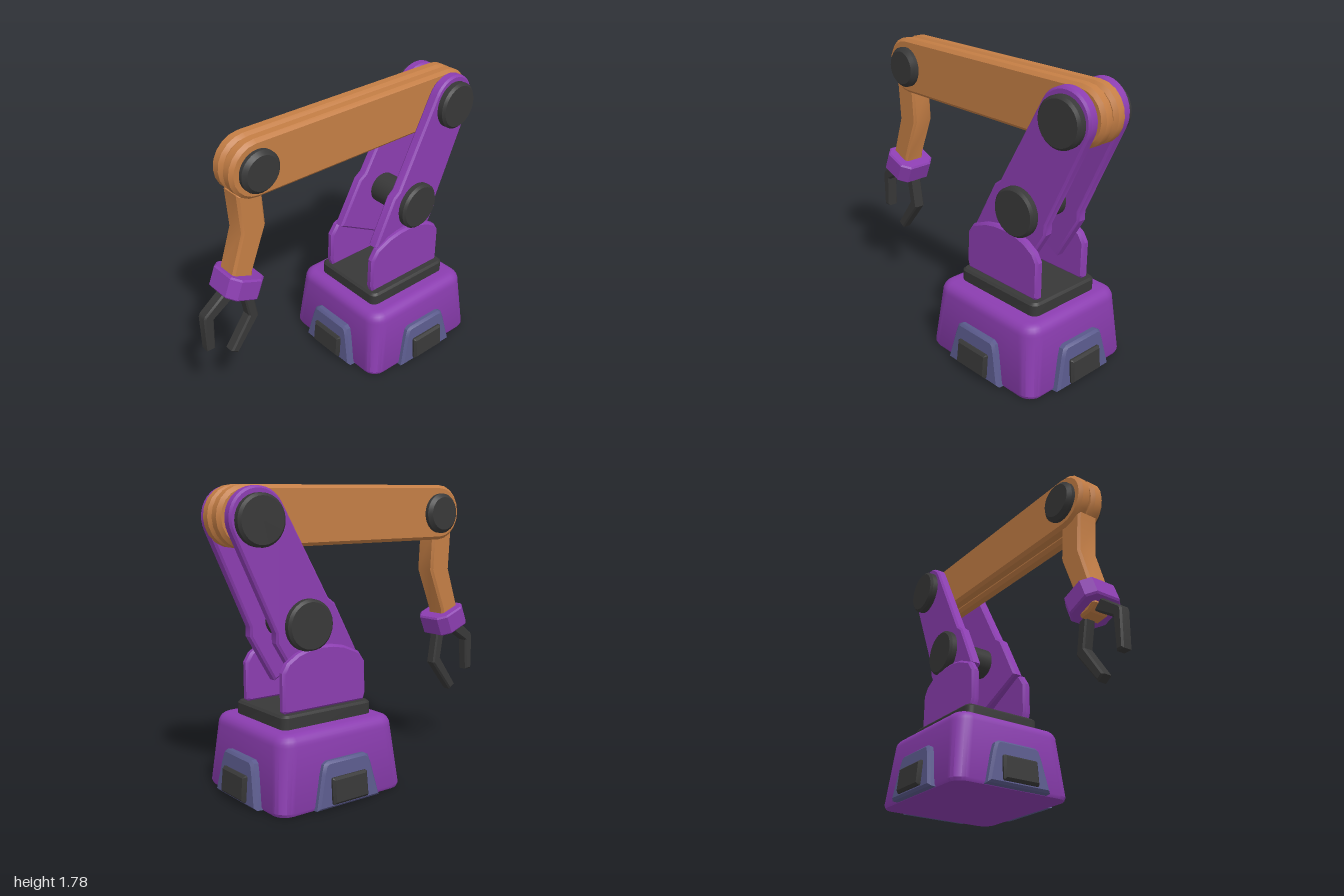
import * as THREE from 'three';
import { toCreasedNormals } from 'three/addons/utils/BufferGeometryUtils.js';

const paint = (color) => new THREE.MeshStandardMaterial({ color });
const purple = paint(0x8b3db0), orange = paint(0xc47e45), dark = paint(0x383838), blue = paint(0x5a5a8c);

function add(parent, name, geometry, material) {
  const mesh = new THREE.Mesh(geometry, material);
  mesh.name = name;
  parent.add(mesh);
  return mesh;
}

// Bevelled slab from a 2D outline, spanning 0..depth along z
function slab(points, depth, bevel, segments = 1) {
  const shape = new THREE.Shape(points.map(([x, y]) => new THREE.Vector2(x, y)));
  const geo = new THREE.ExtrudeGeometry(shape, {
    depth: depth - 2 * bevel, bevelThickness: bevel, bevelSize: bevel,
    bevelOffset: -bevel, bevelSegments: segments,
  });
  return toCreasedNormals(geo.translate(0, 0, bevel), 0.5);
}

// Side profile given as [z, y], extruded from x0 to x1
function profile(points, x0, x1, bevel) {
  return slab(points.map(([z, y]) => [-z, y]), x1 - x0, bevel).rotateY(Math.PI / 2).translate(x0, 0, 0);
}

// Points of an arc in the [z, y] plane
function arc(cz, cy, r, from, to, n) {
  return Array.from({ length: n + 1 }, (_, i) => {
    const a = from + (to - from) * i / n;
    return [cz + r * Math.cos(a), cy + r * Math.sin(a)];
  });
}

// Chamfered disc facing along x; side is +1 or -1
function disc(r, depth, chamfer, side) {
  const pts = [[0, 0], [r, 0], [r, depth - chamfer], [r - chamfer, depth], [0, depth]];
  const geo = new THREE.LatheGeometry(pts.map(([x, y]) => new THREE.Vector2(x, y)), 28);
  return toCreasedNormals(geo, 0.5).rotateZ(-side * Math.PI / 2);
}

// Solid stacked from rounded rectangles; each ring is [y, halfX, halfZ, cornerRadius]
function stack(rings, n = 6) {
  const pos = [], index = [], count = 4 * (n + 1);
  const ring = ([y, hx, hz, r]) => {
    for (let c = 0; c < 4; c++) {
      const sx = c === 0 || c === 3 ? 1 : -1, sz = c < 2 ? 1 : -1;
      for (let i = 0; i <= n; i++) {
        const a = (c + i / n) * Math.PI / 2;
        pos.push(sx * (hx - r) + r * Math.cos(a), y, sz * (hz - r) + r * Math.sin(a));
      }
    }
  };
  rings.forEach(ring);
  for (let k = 0; k < rings.length - 1; k++) {
    for (let i = 0; i < count; i++) {
      const a = k * count + i, b = k * count + (i + 1) % count;
      index.push(a, a + count, b, b, a + count, b + count);
    }
  }
  // Flat bottom and top
  const last = (rings.length - 1) * count;
  for (let i = 1; i < count - 1; i++) {
    index.push(0, i, i + 1, last, last + i + 1, last + i);
  }
  const geo = new THREE.BufferGeometry();
  geo.setAttribute('position', new THREE.Float32BufferAttribute(pos, 3));
  geo.setIndex(index);
  return toCreasedNormals(geo, 0.6);
}

export function createModel() {
  const model = new THREE.Group();
  model.name = 'robotArm';

  // Tapered base with a rounded upper edge
  const base = new THREE.Group();
  base.name = 'base';
  base.position.z = -0.4;
  model.add(base);
  const rings = [[0, 0.4, 0.43, 0.08], [0.02, 0.41, 0.44, 0.09]];
  for (let i = 0; i <= 6; i++) {
    const a = i / 6 * Math.PI / 2, inset = 0.065 * (1 - Math.cos(a));
    rings.push([0.375 + 0.065 * Math.sin(a), 0.378 - inset, 0.405 - inset, 0.1 - inset]);
  }
  add(base, 'baseBody', stack(rings), purple);

  // Vent panel on each of the four sides
  const surround = [[-0.22, 0], [0.22, 0], [0.172, 0.2], [0.155, 0.25], [0.13, 0.265],
    [-0.13, 0.265], [-0.155, 0.25], [-0.172, 0.2]];
  const vent = [[-0.12, 0.02], [0.12, 0.02], [0.125, 0.03], [0.122, 0.165], [0.115, 0.172],
    [-0.115, 0.172], [-0.122, 0.165], [-0.125, 0.03]];
  for (let i = 0; i < 4; i++) {
    const side = new THREE.Group();
    side.name = 'sidePanel';
    side.rotation.y = i * Math.PI / 2;
    base.add(side);
    const tilted = new THREE.Group();
    tilted.position.z = i % 2 ? 0.37 : 0.405;
    tilted.rotation.x = -0.09;
    side.add(tilted);
    add(tilted, 'panelSurround', slab(surround, 0.08, 0.015), blue);
    add(tilted, 'panelVent', slab(vent, 0.105, 0.014), dark);
  }

  // Turntable plate
  add(base, 'turntable', stack([[0.43, 0.26, 0.315, 0.045], [0.505, 0.26, 0.315, 0.045],
    [0.518, 0.247, 0.302, 0.035]]), dark);

  // Outlines of the shoulder bracket and the lower arm plate
  const bracket = [[-0.115, 0.515], [-0.1, 0.56], [-0.105, 0.75], [-0.15, 0.815], [-0.26, 0.862],
    [-0.34, 0.877], [-0.42, 0.88], [-0.5, 0.872], [-0.58, 0.848], [-0.65, 0.805], [-0.685, 0.75],
    [-0.685, 0.53], [-0.67, 0.515]];
  const tilt = Math.atan2(0.6, -0.3);
  const plate = [[-0.525, 0.63], [-0.15, 0.82], [-0.3, 1.11], [-0.345, 1.145],
    ...arc(-0.79, 1.6, 0.172, tilt - Math.PI / 2, tilt + Math.PI / 2, 16),
    [-0.69, 0.97], [-0.69, 0.91]];

  for (const s of [1, -1]) {
    add(model, 'shoulderBracket', profile(bracket, s > 0 ? 0.165 : -0.22, s > 0 ? 0.22 : -0.165, 0.014), purple);

    // Lower arm plate with its joint caps, splayed outwards toward the front
    const arm = new THREE.Group();
    arm.name = 'lowerArm';
    arm.position.set(s * 0.132, 0, -0.8);
    arm.rotation.y = s * 0.045;
    model.add(arm);
    add(arm, 'lowerArmPlate', profile(plate.map(([z, y]) => [z + 0.8, y]), -0.035, 0.035, 0.012), purple);
    add(arm, 'upperJointCap', disc(0.145, 0.055, 0.015, s), dark).position.set(s * 0.03, 1.59, 0.01);
    add(arm, 'middleJointCap', disc(0.149, 0.053, 0.015, s), dark).position.set(s * 0.03, 1, 0.31);

    // Half of the upper beam and its wrist-end cap
    const beam = [...arc(-0.82, 1.605, 0.173, Math.PI / 2, 3 * Math.PI / 2, 10),
      ...arc(0.62, 1.605, 0.173, -Math.PI / 2, Math.PI / 2, 10)];
    add(model, 'upperBeamHalf', profile(beam, s > 0 ? 0.004 : -0.09, s > 0 ? 0.09 : -0.004, 0.02), orange);
    add(model, 'elbowCap', disc(0.125, 0.06, 0.022, s), dark).position.set(s * 0.075, 1.6, 0.615);
  }

  // Axles between the arm plates
  const axle = (name, r, y, z) => add(model, name,
    new THREE.CylinderGeometry(r, r, 0.26, 28).rotateZ(Math.PI / 2), dark).position.set(0, y, z);
  axle('middleAxle', 0.1, 1, -0.49);
  axle('upperAxle', 0.08, 1.59, -0.79);

  // Bent forearm
  add(model, 'forearm', profile([[0.746, 1.48], [0.73, 1.235], [0.808, 1], [0.835, 0.85], [0.79, 0.81],
    [0.72, 0.8], [0.685, 0.84], [0.676, 0.965], [0.57, 1.235], [0.585, 1.48]], -0.07, 0.07, 0.014), orange);

  // Octagonal wrist cuff
  const cuff = [[0.13, 0.07], [0.08, 0.121], [-0.08, 0.121], [-0.13, 0.07],
    [-0.13, -0.07], [-0.08, -0.121], [0.08, -0.121], [0.13, -0.07]];
  const wrist = add(model, 'wristCuff', slab(cuff, 0.132, 0.01).rotateX(-Math.PI / 2).translate(0, -0.066, 0), purple);
  wrist.position.set(0, 0.898, 0.748);
  wrist.rotation.x = -0.38;

  // Gripper fingers
  add(model, 'frontFinger', profile([[0.85, 0.88], [0.99, 0.775], [1, 0.755], [0.998, 0.525],
    [0.945, 0.525], [0.936, 0.73], [0.79, 0.825]], -0.036, 0.036, 0.01), dark);
  add(model, 'rearFinger', profile([[0.735, 0.84], [0.7, 0.635], [0.84, 0.437], [0.795, 0.405],
    [0.634, 0.61], [0.668, 0.82]], -0.036, 0.036, 0.01), dark);

  return model;
}
